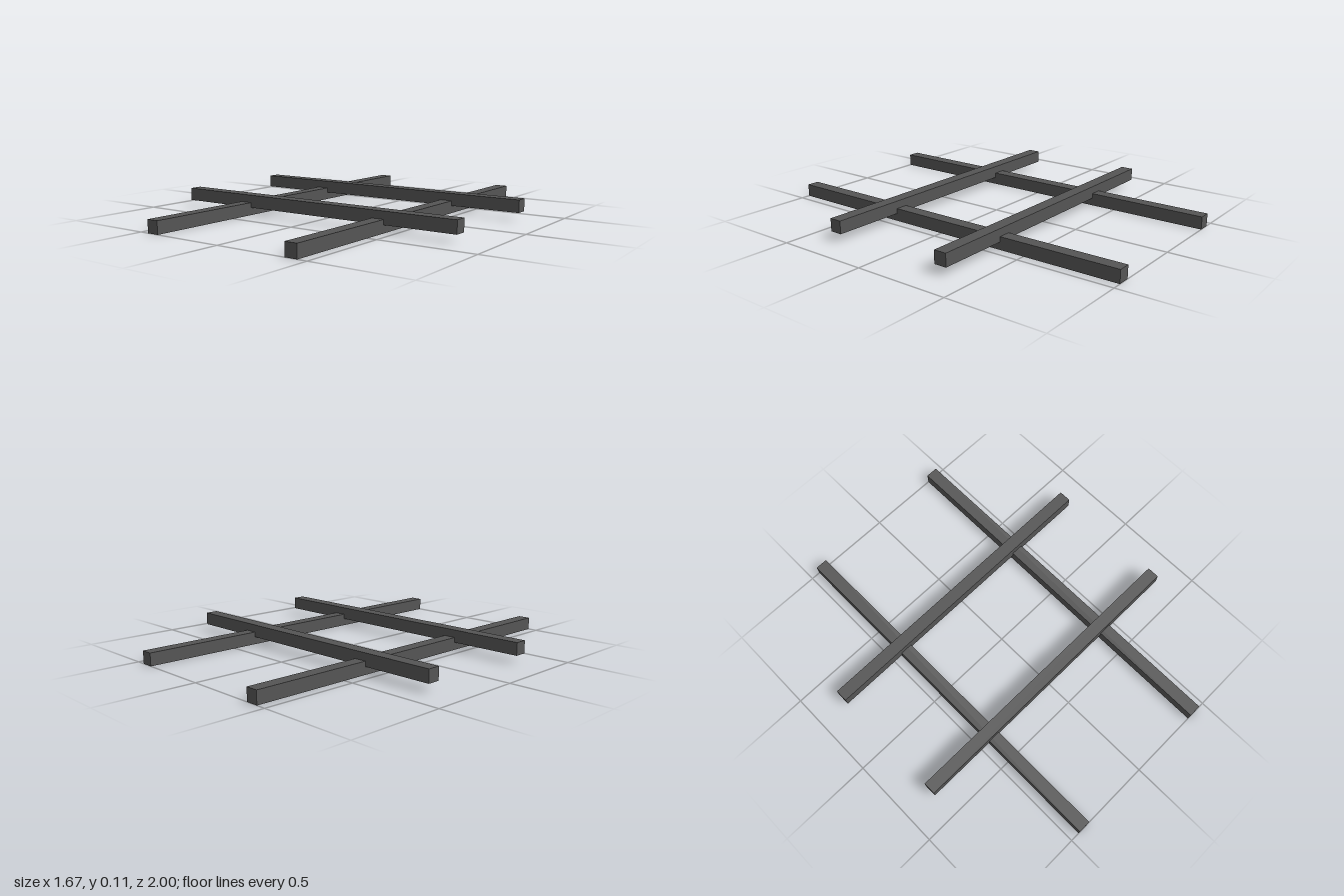
import * as THREE from 'three';

export function createModel() {
  const model = new THREE.Group();
  model.name = 'crossedBarFrame';

  const darkGrey = new THREE.MeshStandardMaterial({ color: 0x555555 });
  darkGrey.name = 'darkGrey';

  const thickness = 0.0667;

  function addBar(name, width, depth, x, bottom, z) {
    const bar = new THREE.Mesh(new THREE.BoxGeometry(width, thickness, depth), darkGrey);
    bar.name = name;
    bar.position.set(x, bottom + thickness / 2, z);
    model.add(bar);
  }

  // Two long rails on the ground, running front to back
  addBar('leftRail', thickness, 2, 0.4167, 0, 0);
  addBar('rightRail', thickness, 2, -0.4167, 0, 0);

  // Two shorter bars notched onto the rails, running side to side
  addBar('frontCrossbar', 1.6667, thickness, 0, 0.04, 0.3333);
  addBar('backCrossbar', 1.6667, thickness, 0, 0.04, -0.3333);

  return model;
}
